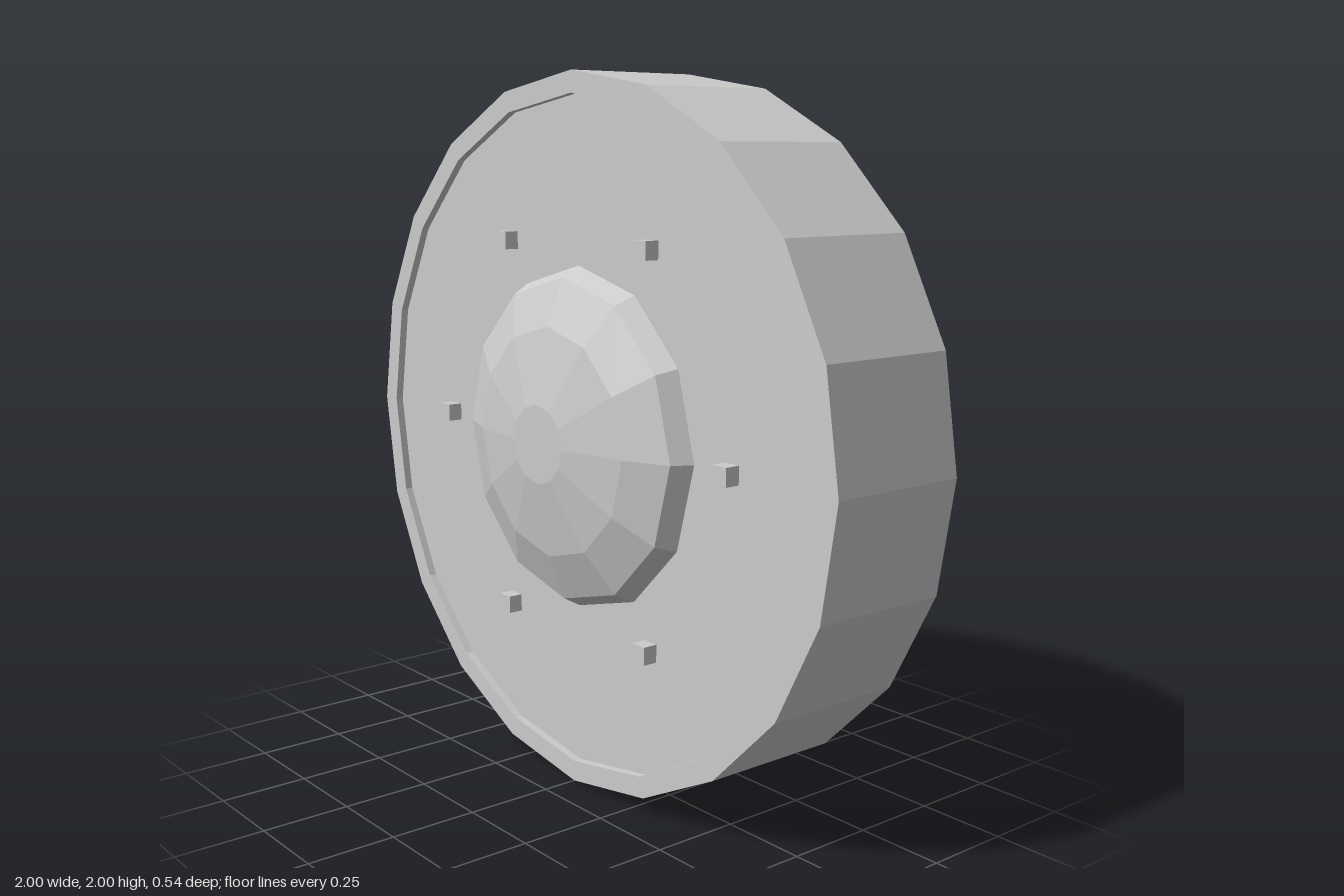
import * as THREE from 'three';

const material = new THREE.MeshStandardMaterial({ color: 0xcccccc, flatShading: true });

// Faceted solid turned about the z axis from [radius, z] pairs, back to front
function turned(name, profile, sides) {
  const points = profile.map(([r, z]) => new THREE.Vector2(r, z));
  const geometry = new THREE.LatheGeometry(points, sides).rotateX(Math.PI / 2);
  const mesh = new THREE.Mesh(geometry, material);
  mesh.name = name;
  mesh.position.y = 1;
  return mesh;
}

export function createModel() {
  const model = new THREE.Group();
  model.name = 'roundShield';

  // Thick disc with a narrow raised rim around the recessed front face
  const face = 0.125;
  model.add(turned('shieldBody', [
    [0, -0.27], [1, -0.27], [1, 0.148], [0.94, 0.148], [0.94, face], [0, face],
  ], 20));

  // Shallow faceted dome in the middle
  model.add(turned('centreBoss', [
    [0.48, face], [0.45, 0.18], [0.32, 0.232], [0.11, 0.27], [0, 0.27],
  ], 12));

  // Ring of six square studs
  const studs = new THREE.Group();
  studs.name = 'studs';
  const studGeometry = new THREE.BoxGeometry(0.05, 0.05, 0.05);
  for (let i = 0; i < 6; i++) {
    const angle = (i * Math.PI) / 3;
    const stud = new THREE.Mesh(studGeometry, material);
    stud.name = `stud${i + 1}`;
    stud.position.set(0.62 * Math.cos(angle), 1 + 0.62 * Math.sin(angle), 0.143);
    studs.add(stud);
  }
  model.add(studs);

  return model;
}
